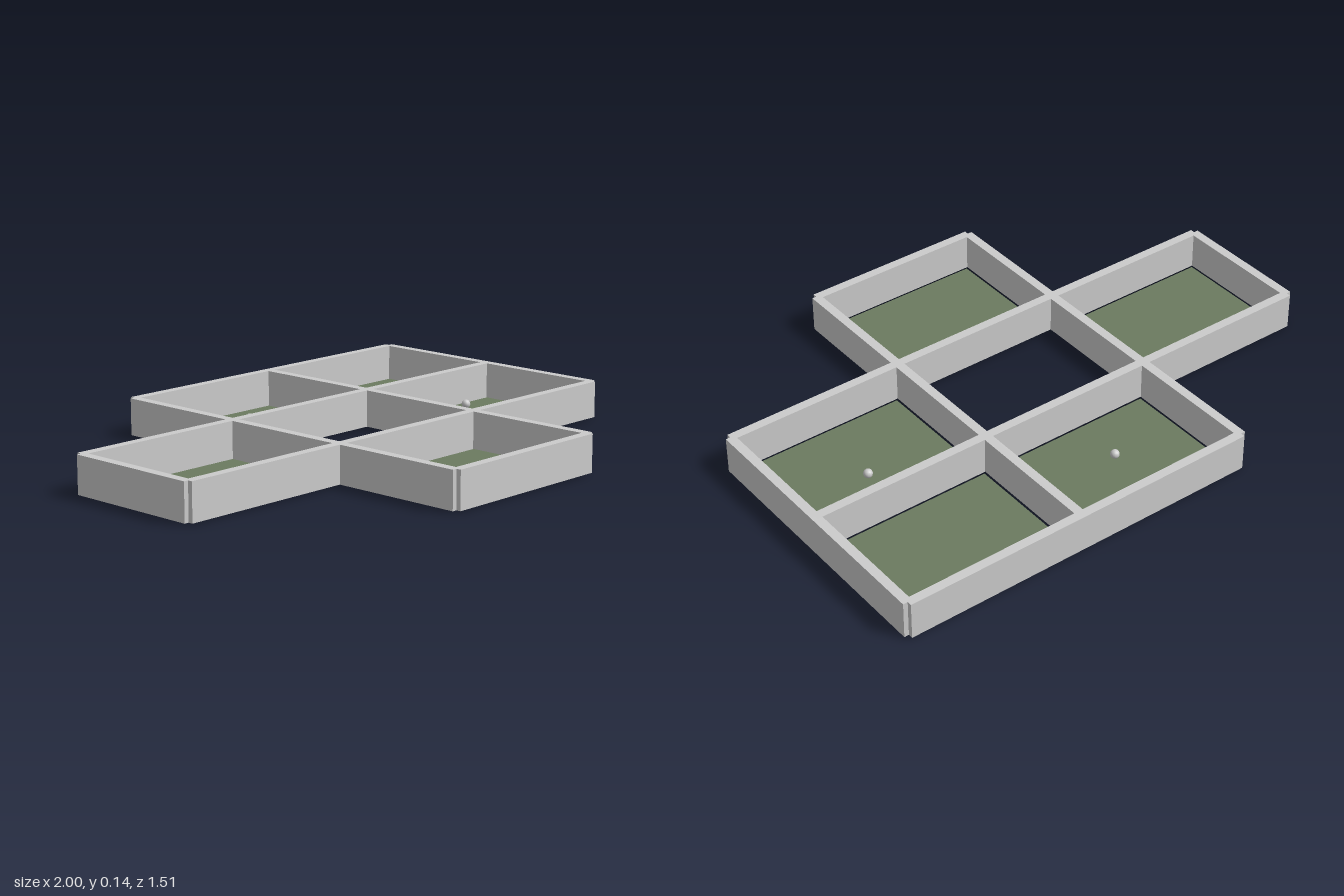
import * as THREE from 'three';

const PX = 0.656, PZ = 0.492;          // cell pitch
const T = 0.033;                       // wall thickness
const Y0 = 0.005, Y1 = 0.136;          // wall bottom and top
const CELLS = [[0, -1], [1, -1], [-1, 0], [1, 0], [0, 1]]; // column, row

export function createModel() {
  const model = new THREE.Group();
  const grey = new THREE.MeshStandardMaterial({ color: 0xcccccc });
  const green = new THREE.MeshStandardMaterial({ color: 0x6b7a5f });

  function add(name, geometry, material, x, y, z) {
    const mesh = new THREE.Mesh(geometry, material);
    mesh.name = name;
    mesh.position.set(x, y, z);
    model.add(mesh);
  }

  // Walls run centre to centre along cell edges, leaving notched corners;
  // neighbouring cells share one wall
  const wallX = new THREE.BoxGeometry(PX, Y1 - Y0, T);
  const wallZ = new THREE.BoxGeometry(T, Y1 - Y0, PZ);
  const floor = new THREE.BoxGeometry(0.6, 0.01, 0.436);
  const built = new Set();
  function wall(name, geometry, x, z) {
    const key = `${x.toFixed(3)},${z.toFixed(3)}`;
    if (built.has(key)) return;
    built.add(key);
    add(name, geometry, grey, x, (Y0 + Y1) / 2, z);
  }

  for (const [col, row] of CELLS) {
    const x = col * PX, z = row * PZ;
    // Floor panel, inset from the walls
    add('floorPanel', floor, green, x, 0.005, z);
    for (const s of [-0.5, 0.5]) {
      wall('crossWall', wallX, x, z + s * PZ);
      wall('sideWall', wallZ, x + s * PX, z);
    }
  }

  // Small round markers inside two rooms
  const marker = new THREE.SphereGeometry(0.016, 12, 8);
  add('marker', marker, grey, -0.01, 0.05, -0.49);
  add('marker', marker, grey, 0.68, 0.05, -0.085);

  return model;
}
